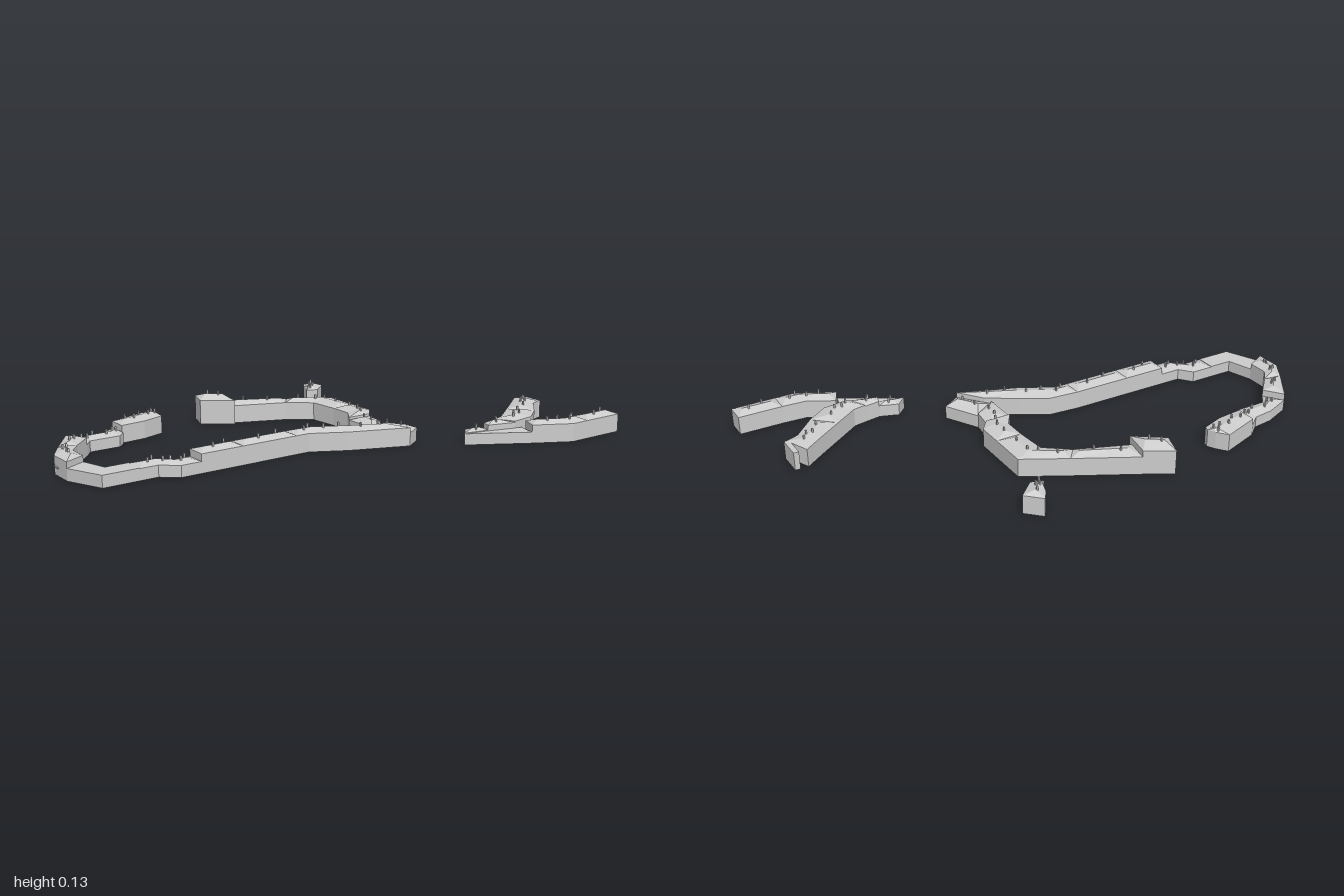
import * as THREE from 'three';

const stone = new THREE.MeshStandardMaterial({ color: 0xcccccc, flatShading: true, side: THREE.DoubleSide });
stone.name = 'pale grey';

// One house block: pairs of street-side and yard-side corners [x, z, x, z], open underneath
function blockGeometry(pairs, h, rise) {
  let L = pairs.map(p => [p[0], p[1]]);
  let R = pairs.map(p => [p[2], p[3]]);
  const ringOf = () => [...L, ...[...R].reverse()];
  const area = ringOf().reduce((s, p, i, r) => {
    const q = r[(i + 1) % r.length];
    return s + q[0] * p[1] - p[0] * q[1];
  }, 0);
  if (area < 0) [L, R] = [R, L];
  const ring = ringOf(), pos = [];
  const at = (p, y) => new THREE.Vector3(p[0], y, p[1]);
  const tri = (...v) => v.forEach(p => pos.push(p.x, p.y, p.z));
  const quad = (a, b, c, d) => { tri(a, b, c); tri(a, c, d); };

  // Walls
  ring.forEach((p, i) => {
    const q = ring[(i + 1) % ring.length];
    quad(at(p, 0), at(q, 0), at(q, h), at(p, h));
  });

  // Ridge, pulled in at both ends to make hips
  const n = L.length - 1;
  const mid = L.map((p, i) => at([(p[0] + R[i][0]) / 2, (p[1] + R[i][1]) / 2], h + rise));
  const ridge = mid.map(p => p.clone());
  if (rise > 0) {
    const pull = (i, j) => {
      const d = mid[i].distanceTo(mid[j]);
      ridge[i].lerp(mid[j], Math.min(0.4, 0.03 / d));
    };
    pull(0, 1);
    pull(n, n - 1);
  }

  // Roof slopes and hip ends
  for (let i = 0; i < n; i++) {
    quad(at(L[i], h), at(L[i + 1], h), ridge[i + 1], ridge[i]);
    quad(at(R[i + 1], h), at(R[i], h), ridge[i], ridge[i + 1]);
  }
  tri(at(L[n], h), at(R[n], h), ridge[n]);
  tri(at(R[0], h), at(L[0], h), ridge[0]);

  const geo = new THREE.BufferGeometry();
  geo.setAttribute('position', new THREE.Float32BufferAttribute(pos, 3));
  geo.computeVertexNormals();
  return { geo, ridge };
}

function addBlock(parent, name, h, rise, pairs) {
  const g = new THREE.Group();
  g.name = name;
  const { geo, ridge } = blockGeometry(pairs, h, rise);
  const body = new THREE.Mesh(geo, stone);
  body.name = 'wallsAndRoof';
  g.add(body);
  // Chimneys beside the ridge
  if (rise > 0) {
    for (let i = 0; i < ridge.length - 1; i++) {
      [0.2, 0.7].forEach((t, k) => {
        const p = ridge[i].clone().lerp(ridge[i + 1], t);
        const c = new THREE.Mesh(new THREE.BoxGeometry(0.006, 0.022, 0.006), stone);
        c.name = 'chimney';
        c.position.set(p.x + (k ? 0.01 : -0.008), p.y + 0.002, p.z);
        g.add(c);
      });
    }
  }
  parent.add(g);
}

// Rows of blocks: [wall height, roof rise, corner pairs]
const rows = {
  westRow: [
    [0.095, 0.018, [[-0.57, 0.21, -0.48, 0.24], [-0.51, 0.11, -0.40, 0.13]]],
    [0.07, 0.013, [[-0.51, 0.11, -0.42, 0.13], [-0.39, -0.11, -0.34, -0.07]]],
    [0.07, 0.013, [[-0.39, -0.11, -0.34, -0.07], [-0.30, -0.27, -0.27, -0.16], [-0.15, -0.27, -0.15, -0.17]]],
  ],
  northRow: [
    [0.07, 0.013, [[-0.15, -0.27, -0.15, -0.17], [-0.05, -0.27, -0.06, -0.17], [0, -0.23, 0, -0.13]]],
    [0.06, 0.012, [[0, -0.23, 0, -0.13], [0.08, -0.22, 0.14, -0.13]]],
    [0.05, 0.02, [[0.08, -0.22, 0.14, -0.13], [0.21, -0.29, 0.255, -0.22]]],
  ],
  eastRow: [
    [0.07, 0.013, [[0.255, -0.22, 0.16, -0.15], [0.17, 0, 0.09, -0.04], [0.10, 0.13, 0.03, 0.06], [0.10, 0.18, 0.02, 0.18]]],
    [0.07, 0.013, [[0.10, 0.18, 0.02, 0.18], [0.10, 0.41, 0.02, 0.41]]],
    [0.07, 0.013, [[0.10, 0.41, 0.02, 0.41], [0.10, 0.58, 0.02, 0.58]]],
    [0.043, 0.012, [[0.10, 0.58, 0.02, 0.58], [0.10, 0.66, 0.02, 0.66], [0.05, 0.72, -0.03, 0.70], [0.05, 0.79, -0.03, 0.79]]],
    [0.045, 0, [[0.05, 0.79, -0.03, 0.79], [0.05, 0.93, -0.03, 0.88], [-0.09, 0.99, -0.13, 0.91]]],
  ],
  southRow: [
    [0.068, 0.012, [[-0.09, 0.99, -0.13, 0.91], [-0.19, 0.99, -0.21, 0.91], [-0.27, 0.94, -0.26, 0.87]]],
    [0.068, 0.012, [[-0.27, 0.94, -0.26, 0.87], [-0.40, 0.85, -0.33, 0.80]]],
    [0.042, 0.012, [[-0.40, 0.85, -0.33, 0.80], [-0.44, 0.75, -0.37, 0.77], [-0.45, 0.67, -0.37, 0.65], [-0.49, 0.62, -0.40, 0.62]]],
    [0.068, 0.012, [[-0.49, 0.62, -0.41, 0.62], [-0.52, 0.53, -0.42, 0.52], [-0.54, 0.47, -0.45, 0.43], [-0.50, 0.44, -0.47, 0.425]]],
  ],
  forkLeftRow: [
    [0.07, 0, [[0.14, -0.92, 0.14, -0.90], [0.235, -0.92, 0.235, -0.90]]],
    [0.07, 0.012, [[0.14, -0.87, 0.235, -0.91], [0.20, -0.79, 0.255, -0.86], [0.265, -0.70, 0.34, -0.78]]],
    [0.07, 0.012, [[0.265, -0.70, 0.34, -0.78], [0.33, -0.61, 0.40, -0.70], [0.34, -0.56, 0.415, -0.60]]],
    [0.065, 0.012, [[0.34, -0.56, 0.415, -0.60], [0.35, -0.50, 0.385, -0.49]]],
    [0.046, 0.01, [[0.35, -0.50, 0.385, -0.49], [0.325, -0.43, 0.365, -0.39]]],
  ],
  forkRightRow: [
    [0.07, 0.013, [[0.49, -1, 0.57, -1], [0.49, -0.83, 0.57, -0.83]]],
    [0.07, 0.013, [[0.49, -0.83, 0.57, -0.83], [0.485, -0.74, 0.57, -0.75], [0.43, -0.64, 0.495, -0.61]]],
    [0.043, 0, [[0.42, -0.63, 0.495, -0.61], [0.385, -0.49, 0.365, -0.39]]],
  ],
  loneHouse: [
    [0.07, 0.014, [[-0.565, -0.32, -0.51, -0.375], [-0.53, -0.295, -0.45, -0.31], [-0.49, -0.28, -0.465, -0.265]]],
  ],
};

export function createModel() {
  const model = new THREE.Group();
  model.name = 'townBlocks';
  for (const [name, blocks] of Object.entries(rows)) {
    const row = new THREE.Group();
    row.name = name;
    blocks.forEach(([h, rise, pairs], i) => addBlock(row, `houseBlock${i + 1}`, h, rise, pairs));
    model.add(row);
  }
  // Small ledge on the south front
  const ledge = new THREE.Mesh(new THREE.BoxGeometry(0.03, 0.005, 0.008), stone);
  ledge.name = 'wallLedge';
  ledge.position.set(-0.17, 0.03, 0.99);
  model.add(ledge);
  return model;
}
